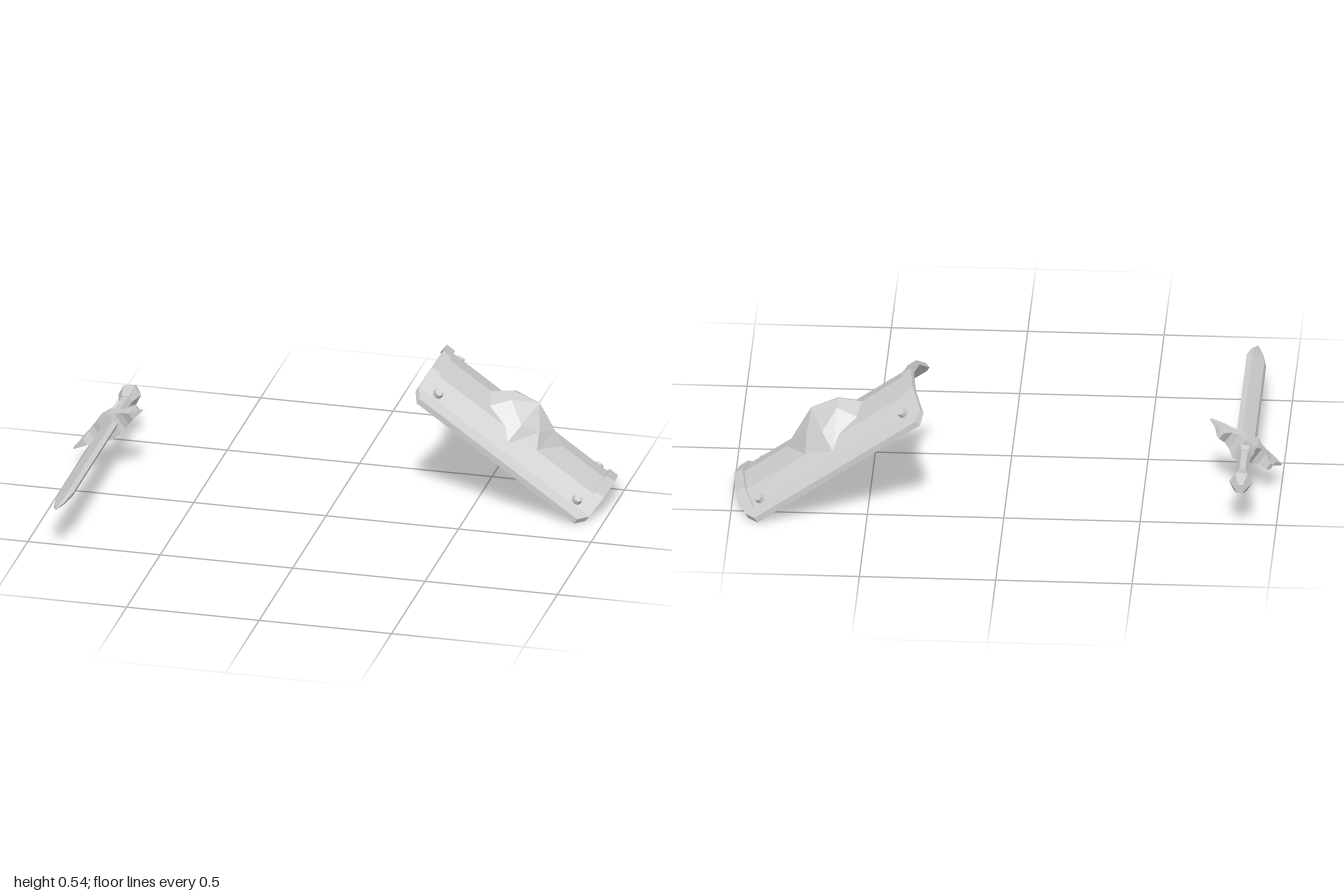
import * as THREE from 'three';

const mat = new THREE.MeshStandardMaterial({ color: 0xcccccc, flatShading: true });

// Closed faceted solid through rings of equal point count, capped at both ends
function loft(rings) {
  const n = rings[0].length, pts = rings.flat(), idx = [];
  for (let r = 0; r < rings.length - 1; r++) {
    for (let i = 0; i < n; i++) {
      const j = (i + 1) % n, a = r * n + i, b = r * n + j;
      idx.push(a, b, b + n, a, b + n, a + n);
    }
  }
  const last = (rings.length - 1) * n;
  for (let i = 1; i < n - 1; i++) idx.push(0, i + 1, i, last, last + i, last + i + 1);
  // Turn the faces outward by the sign of the enclosed volume
  const v = pts.map((p) => new THREE.Vector3(...p));
  let volume = 0;
  for (let k = 0; k < idx.length; k += 3) {
    volume += v[idx[k]].dot(v[idx[k + 1]].clone().cross(v[idx[k + 2]]));
  }
  if (volume < 0) idx.reverse();
  const g = new THREE.BufferGeometry();
  g.setAttribute('position', new THREE.Float32BufferAttribute(pts.flat(), 3));
  g.setIndex(idx);
  const flat = g.toNonIndexed();
  flat.computeVertexNormals();
  return flat;
}

function add(group, name, geometry) {
  const mesh = new THREE.Mesh(geometry, mat);
  mesh.name = name;
  group.add(mesh);
  return mesh;
}

// Tapered prism along z from z0 (radius r0) to z1 (radius r1)
const prism = (r0, r1, z0, z1, sides) =>
  new THREE.CylinderGeometry(r1, r0, z1 - z0, sides)
    .rotateX(Math.PI / 2).translate(0, 0, (z0 + z1) / 2);

function createSword() {
  const sword = new THREE.Group();
  sword.name = 'sword';

  // Blade: flattened hexagon section, narrowing to the tip
  const section = [[0.043, 0], [0.027, 0.013], [-0.027, 0.013], [-0.043, 0], [-0.027, -0.013], [0.027, -0.013]];
  const blade = [[-0.21, 1], [0.47, 1], [0.535, 0.65], [0.59, 0.02]];
  add(sword, 'blade', loft(blade.map(([z, s]) => section.map(([x, y]) => [x * s, y * s, z]))));

  // Guard: half stations [x, back z, front z, half thickness], mirrored
  const half = [
    [0.025, -0.268, -0.195, 0.044], [0.05, -0.238, -0.2, 0.034], [0.075, -0.236, -0.195, 0.025],
    [0.105, -0.26, -0.18, 0.014], [0.118, -0.252, -0.18, 0.012], [0.13, -0.208, -0.18, 0.009],
    [0.158, -0.184, -0.18, 0.003],
  ];
  const guard = [...half.map(([x, ...r]) => [-x, ...r]).reverse(), ...half];
  add(sword, 'guard', loft(guard.map(([x, b, f, t]) => [[x, t, b], [x, t, f], [x, -t, f], [x, -t, b]])));

  // Grip, collar and pommel
  add(sword, 'collar', prism(0.028, 0.04, -0.295, -0.25, 6));
  add(sword, 'grip', prism(0.022, 0.024, -0.455, -0.27, 6));
  add(sword, 'pommelNeck', prism(0.043, 0.025, -0.508, -0.445, 6));
  add(sword, 'pommelCap', prism(0.02, 0.043, -0.563, -0.508, 6));

  sword.position.set(-0.87, 0.18, 0);
  sword.rotation.z = THREE.MathUtils.degToRad(34.7);
  return sword;
}

function createShield() {
  const shield = new THREE.Group();
  shield.name = 'shield';

  // Curved body: stations [z, height, half length]
  const side = [[0.107, -0.025, 0.395], [0.185, -0.085, 0.392], [0.219, -0.105, 0.363]];
  const body = [...side.map(([z, h, l]) => [-z, h, l]).reverse(), [0, 0, 0.395], ...side];
  const slab = (stations, top, bottom, from, to) => loft(stations.map(([z, h, l]) => [
    [from(l), h + top, z], [to(l), h + top, z], [to(l), h + bottom, z], [from(l), h + bottom, z],
  ]));
  add(shield, 'panel', slab(body, -0.013, -0.022, (l) => -l + 0.005, (l) => l - 0.005));

  // Raised rim on all four sides
  for (const s of [-1, 1]) {
    add(shield, 'endRim', slab(body, 0, -0.022, (l) => s * l, (l) => s * (l - 0.038)));
    const edge = s < 0 ? body.slice(0, 2) : body.slice(-2);
    add(shield, 'sideRim', slab(edge, 0, -0.022, (l) => -l + 0.01, (l) => l - 0.01));
  }

  // Corner rivets, square to the sloping surface
  for (const sx of [-1, 1]) {
    for (const sz of [-1, 1]) {
      const rivet = add(shield, 'rivet', new THREE.CylinderGeometry(0.014, 0.024, 0.03, 8));
      rivet.position.set(sx * 0.32, -0.073, sz * 0.157);
      rivet.rotation.x = sz * 0.65;
    }
  }

  // Boss: kite-like outline [x, height, z] rising through a middle ring to a peak
  const outline = [[-0.145, -0.035, 0.07], [-0.01, -0.075, 0.15], [0.1, -0.045, 0.11]];
  const base = [[-0.17, -0.015, 0], ...outline, [0.17, -0.015, 0],
    ...outline.map(([x, y, z]) => [x, y, -z]).reverse()];
  const middle = base.map(([x, y, z]) => [x * 0.62, y * 0.55 + 0.04 - 0.075 * x, z * 0.62]);
  const peak = base.map(([x, , z]) => [x * 0.01, 0.069, z * 0.01]);
  const foot = base.map(([x, y, z]) => [x, y - 0.015, z]);
  add(shield, 'boss', loft([foot, base, middle, peak]));

  // Hand strap behind the body
  const strap = [[-0.1, -0.03, 0.012], [-0.06, -0.165, 0.012], [0.06, -0.165, -0.012], [0.1, -0.03, -0.012]];
  add(shield, 'handStrap', loft(strap.map(([z, y, d]) => [
    [-0.018, y + 0.01, z + d], [0.018, y + 0.01, z + d],
    [0.018, y - 0.01, z - d], [-0.018, y - 0.01, z - d],
  ])));

  shield.position.set(0.673, 0.315, -0.371);
  shield.rotation.z = THREE.MathUtils.degToRad(-35);
  return shield;
}

export function createModel() {
  const model = new THREE.Group();
  model.name = 'swordAndShield';
  model.add(createSword(), createShield());
  return model;
}
